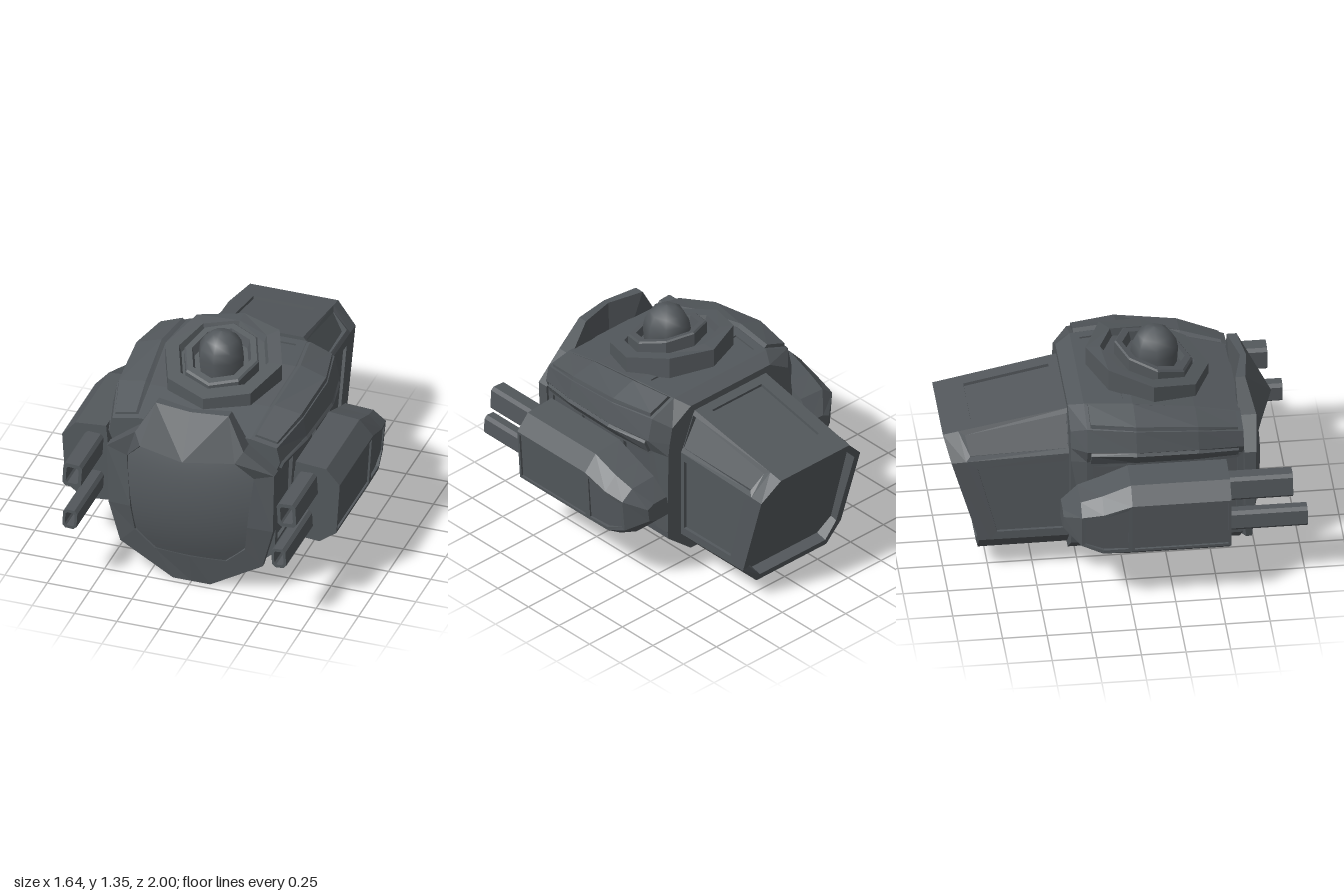
import * as THREE from 'three';

const V = (x, y, z) => new THREE.Vector3(x, y, z);
const mid = (pts) => pts.reduce((s, p) => s.add(p), V(0, 0, 0)).divideScalar(pts.length);
const lerp = (a, b, t) => a.clone().lerp(b, t);

function normalOf(pts) {
  const n = V(0, 0, 0);
  pts.forEach((p, i) => n.add(p.clone().cross(pts[(i + 1) % pts.length])));
  return n.normalize();
}

// Triangulates one polygon
function fan(out, pts) {
  if (pts.length > 4) {
    const c = mid(pts);
    pts.forEach((p, i) => out.push(c, p, pts[(i + 1) % pts.length]));
  } else {
    for (let i = 1; i < pts.length - 1; i++) out.push(pts[0], pts[i], pts[i + 1]);
  }
}

// Adds a polygon facing away from ref, with an optional framed recess
function face(out, points, ref, inset = 0, depth = 0) {
  let pts = points, n = normalOf(pts);
  if (n.dot(mid(pts).sub(ref)) < 0) {
    pts = [...pts].reverse();
    n.negate();
  }
  if (!inset) return fan(out, pts);
  const N = pts.length, c = mid(pts);
  const inward = pts.map((p, i) => n.clone().cross(pts[(i + 1) % N].clone().sub(p)).normalize());
  const rim = pts.map((p, i) => {
    const a = inward[(i + N - 1) % N], b = inward[i];
    return p.clone().addScaledVector(a.clone().add(b), inset / (1 + a.dot(b)));
  });
  const floor = rim.map((p) => p.clone().addScaledVector(n, n.dot(c) - n.dot(p) - depth));
  for (let i = 0; i < N; i++) {
    const j = (i + 1) % N;
    fan(out, [pts[i], pts[j], rim[j], rim[i]]);
    fan(out, [rim[i], rim[j], floor[j], floor[i]]);
  }
  fan(out, floor);
}

function flat(geo) {
  const g = geo.index ? geo.toNonIndexed() : geo;
  g.computeVertexNormals();
  return g;
}

export function createModel() {
  const group = new THREE.Group();
  const steel = new THREE.MeshStandardMaterial({ color: 0x53585c });
  steel.name = 'dark steel';
  const add = (name, geo) => {
    const m = new THREE.Mesh(geo, steel);
    m.name = name;
    group.add(m);
    return m;
  };
  const addFaces = (name, out) => add(name, flat(new THREE.BufferGeometry().setFromPoints(out)));

  // Hull: half sections, bottom to top, lofted along z
  const low = [[0.3, 0.11], [0.47, 0.25], [0.475, 0.29]];
  const sections = [
    [0.66, [0.485, 0.8], [0.505, 0.85], [0.485, 0.94], [0.33, 0.97]],
    [0.4, [0.505, 0.8], [0.57, 0.89], [0.55, 1.0], [0.35, 1.035]],
    [0.05, [0.52, 0.81], [0.595, 0.91], [0.57, 1.035], [0.38, 1.1]],
    [-0.22, [0.505, 0.81], [0.545, 0.9], [0.515, 1.035], [0.35, 1.1]],
    [-0.305, [0.47, 0.8], [0.46, 0.88], [0.44, 0.98], [0.3, 1.065]],
  ];
  const row = (s, sx) => [...low, ...s.slice(1)].map(([x, y]) => V(sx * x, y, s[0]));
  const core = V(0, 0.6, 0.17);
  const hull = [];
  for (const sx of [1, -1]) {
    for (let i = 0; i < 4; i++) {
      const a = row(sections[i], sx), b = row(sections[i + 1], sx);
      for (let k = 1; k < 6; k++) {
        const panel = k === 2 && i < 3;
        face(hull, [a[k], a[k + 1], b[k + 1], b[k]], core, panel ? 0.035 : 0, 0.018);
      }
    }
    const a = row(sections[0], sx), b = row(sections[4], sx);
    face(hull, [a[0], a[1], b[1], b[0]], core);
  }
  for (let i = 0; i < 4; i++) {
    const p = [row(sections[i], 1)[6], row(sections[i], -1)[6], row(sections[i + 1], -1)[6], row(sections[i + 1], 1)[6]];
    face(hull, p, core, i === 2 ? 0.05 : 0, 0.01);
  }
  const ends = [sections[0], sections[4]];
  for (const s of ends) face(hull, [...row(s, 1), ...row(s, -1).reverse()], core);
  face(hull, [row(ends[0], 1)[0], row(ends[0], -1)[0], row(ends[1], -1)[0], row(ends[1], 1)[0]], core, 0.07, 0.04);
  addFaces('hull', hull);

  // Raised armour strips along the shoulders
  for (const sx of [1, -1]) {
    for (const [k, dx, dy] of [[3, 0.016, -0.01], [5, 0.01, 0.02]]) {
      const out = [], base = [], top = [];
      const off = V(sx * dx, dy, 0);
      sections.slice(0, 4).forEach((s, i) => {
        const r = row(s, sx);
        const z = [-0.03, 0, 0, 0.02][i];
        const pair = [lerp(r[k], r[k + 1], 0.03), lerp(r[k], r[k + 1], 0.97)];
        pair.forEach((p) => { p.z += z; });
        base.push(pair);
        top.push([lerp(pair[0], pair[1], 0.08).add(off), lerp(pair[0], pair[1], 0.92).add(off)]);
      });
      for (let i = 0; i < 3; i++) {
        face(out, [top[i][0], top[i][1], top[i + 1][1], top[i + 1][0]], core);
        const c = mid([...base[i], ...base[i + 1]]);
        for (const e of [0, 1]) face(out, [base[i][e], base[i + 1][e], top[i + 1][e], top[i][e]], c);
      }
      for (const i of [0, 3]) face(out, [...base[i], top[i][1], top[i][0]], core);
      addFaces('shoulderPlate', out);
    }
  }

  // Rear engine housing with recessed panels and a sloped, recessed outlet
  const front = [[0.27, 0.13, -0.28], [0.375, 0.24, -0.28], [0.375, 0.79, -0.28], [0.27, 1.03, -0.28]];
  const rear = [[0.265, 0.125, -0.805], [0.372, 0.24, -0.81], [0.375, 0.77, -0.964], [0.26, 0.89, -1]];
  const ring = (h) => [...h.map((p) => V(...p)), ...[...h].reverse().map(([x, y, z]) => V(-x, y, z))];
  const f = ring(front), r = ring(rear), engine = [], engineCore = V(0, 0.55, -0.55);
  const split = f.map((p, i) => lerp(p, r[i], 0.88));
  const insets = [0, 0.05, 0.03, 0.08, 0.03, 0.05, 0, 0.09];
  for (let i = 0; i < 8; i++) {
    const j = (i + 1) % 8;
    face(engine, [f[i], f[j], split[j], split[i]], engineCore, insets[i], 0.018);
    face(engine, [split[i], split[j], r[j], r[i]], engineCore);
  }
  face(engine, r, engineCore, 0.04, 0.06);
  addFaces('engineHousing', engine);

  // Front shield: framed plate with a jutting brow
  const bulge = (x, y) => 0.8 - 0.4 * x * x - 0.5 * (y - 0.54) ** 2;
  const outer = [[0.11, 0], [0.42, 0.185], [0.485, 0.43], [0.495, 0.8], [0.32, 0.935], [0.215, 1.12]];
  const inner = [[0.21, 0.185], [0.325, 0.29], [0.345, 0.45], [0.375, 0.76], [0.28, 0.87]];
  const outerZ = [0.71, 0.715, 0.725, 0.73, 0.75, 0.7];
  const backZ = [0.685, 0.68, 0.67, 0.665, 0.65, 0.645];
  const shield = [], heart = V(0, 0.54, 0.7), behind = V(0, 0.5, -3);
  const prow = V(0, 0.87, 0.87), peak = V(0, 1.12, 0.73);
  const backPeak = V(0, 1.12, 0.695), backFoot = V(0, 0, 0.685), backMid = V(0, 0.54, 0.67);
  for (const sx of [1, -1]) {
    const o = outer.map(([x, y], i) => V(sx * x, y, outerZ[i]));
    const n = inner.map(([x, y]) => V(sx * x, y, bulge(x, y) + 0.012));
    const back = outer.map(([x, y], i) => V(sx * x, y, backZ[i]));
    n[4].z = 0.785;
    for (let i = 0; i < 5; i++) {
      face(shield, [o[i], o[i + 1], back[i + 1], back[i]], heart);
      face(shield, [back[i], back[i + 1], backMid], V(0, 0.54, 3));
      if (i === 4) continue;
      face(shield, [o[i], o[i + 1], n[i + 1], n[i]], behind);
      const drop = [n[i], n[i + 1]].map((p) => V(p.x * 0.98, 0.54 + (p.y - 0.54) * 0.98, p.z - 0.025));
      face(shield, [n[i], n[i + 1], drop[1], drop[0]], V(sx * 2, n[i].y * 4 - 1.6, 0.75));
    }
    face(shield, [back[5], backPeak, backMid], V(0, 0.54, 3));
    face(shield, [back[0], backFoot, backMid], V(0, 0.54, 3));
    face(shield, [o[5], peak, prow], behind);
    face(shield, [o[5], prow, n[4]], behind);
    face(shield, [o[5], n[4], o[4]], behind);
    face(shield, [n[4], prow, V(0, 0.87, 0.73), V(sx * 0.28, 0.87, 0.7)], V(0, 3, 0.78));
    face(shield, [o[5], peak, backPeak, back[5]], heart);
    face(shield, [o[0], n[0], V(0, 0.185, bulge(0, 0.185) + 0.012), V(0, 0, 0.71)], behind);
    face(shield, [o[0], V(0, 0, 0.71), backFoot, back[0]], heart);
  }
  addFaces('frontShield', shield);

  // Smooth bulged panel inside the shield frame
  const pane = new THREE.PlaneGeometry(2, 0.685, 10, 12);
  const pp = pane.attributes.position;
  for (let i = 0; i < pp.count; i++) {
    const y = pp.getY(i) + 0.5275;
    const w = Math.min(0.21 + (y - 0.185) * 1.1, 0.325 + (y - 0.29) * 0.106, 0.28 + (0.87 - y) * 0.86);
    const x = pp.getX(i) * w;
    pp.setXYZ(i, x, y, bulge(x, y));
  }
  pane.computeVertexNormals();
  add('shieldPanel', pane);

  // Side gun pods
  const podShape = [[0.56, 0.81], [0.74, 0.795], [0.82, 0.705], [0.8, 0.39], [0.7, 0.315], [0.515, 0.33]];
  const podRows = [[0.555, 0.563, 1, 1], [0, 0.563, 1, 1], [-0.16, 0.535, 0.85, 0.985], [-0.28, 0.545, 0.63, 0.92], [-0.372, 0.54, 0.25, 0.54]];
  // Octagonal outline for the hollow gun barrels
  const chamfered = (T, w, h, c) => {
    const pts = [[w - c, -h], [w, c - h], [w, h - c], [w - c, h], [c - w, h], [-w, h - c], [-w, c - h], [c - w, -h]];
    return new T(pts.map(([x, y]) => new THREE.Vector2(x, y)));
  };
  for (const sx of [1, -1]) {
    const rows = podRows.map(([z, m, s, w]) =>
      podShape.map(([x, y]) => V(sx * (0.53 + (x - 0.53) * w), m + (y - 0.563) * s, z)));
    const pod = [], c = V(sx * 0.66, 0.56, 0.1);
    for (let i = 0; i < 4; i++) {
      for (let k = 0; k < 6; k++) {
        if (k === 2 && (i === 1 || i === 2)) continue;
        const j = (k + 1) % 6;
        const panel = k === 2 && i === 0;
        face(pod, [rows[i][k], rows[i][j], rows[i + 1][j], rows[i + 1][k]], c, panel ? 0.015 : 0, 0.012);
      }
    }
    // Tapered rear side panel
    face(pod, [rows[1][2], rows[2][2], rows[3][2], rows[3][3], rows[2][3], rows[1][3]], c, 0.02, 0.012);
    face(pod, rows[0], c);
    face(pod, rows[4], c);
    addFaces('gunPod', pod);

    for (const [x, y, w, h, tip] of [[0.633, 0.68, 0.055, 0.073, 0.915], [0.617, 0.447, 0.042, 0.06, 1]]) {
      const shape = chamfered(THREE.Shape, w, h, 0.018);
      shape.holes.push(chamfered(THREE.Path, w * 0.65, h * 0.7, 0.01));
      const gun = add('gunBarrel', new THREE.ExtrudeGeometry(shape, { depth: tip - 0.53, bevelEnabled: false }));
      gun.position.set(sx * x, y, 0.53);
      gun.rotation.z = sx * 0.06;
    }
    add('podBracket', new THREE.BoxGeometry(0.1, 0.21, 0.4)).position.set(sx * 0.51, 0.535, 0.2);
  }

  // Turret: sloped octagonal bowl, tilted collar and dome
  const lathe = (profile) => new THREE.LatheGeometry(profile.map((p) => new THREE.Vector2(...p)), 8);
  const slope = (geo, rule) => {
    const p = geo.attributes.position;
    for (let i = 0; i < p.count; i++) p.setY(i, rule(p.getY(i), p.getZ(i)));
    return flat(geo);
  };
  const base = slope(lathe([[0.345, 0], [0.345, 1], [0.265, 1], [0.25, 0.96], [0, 0.96]]),
    (y, z) => (y > 0 ? Math.min(1.24, 1.175 - z * 0.27) + y - 1 : 1.07 - z * 0.16));
  add('turretBase', base).position.z = 0.175;
  const collar = slope(lathe([[0.22, 1.1], [0.22, 1.19], [0.21, 1.2], [0.175, 1.2], [0.16, 1.15], [0.1, 1.15]]),
    (y, z) => y - z * 0.34);
  add('turretCollar', collar).position.z = 0.21;
  const arc = [[0.125, 1.08], [0.134, 1.2]];
  for (let i = 1; i <= 4; i++) arc.push([0.134 * Math.cos(i * Math.PI / 8), 1.2 + 0.15 * Math.sin(i * Math.PI / 8)]);
  add('turretDome', lathe(arc)).position.z = 0.215;

  return group;
}
